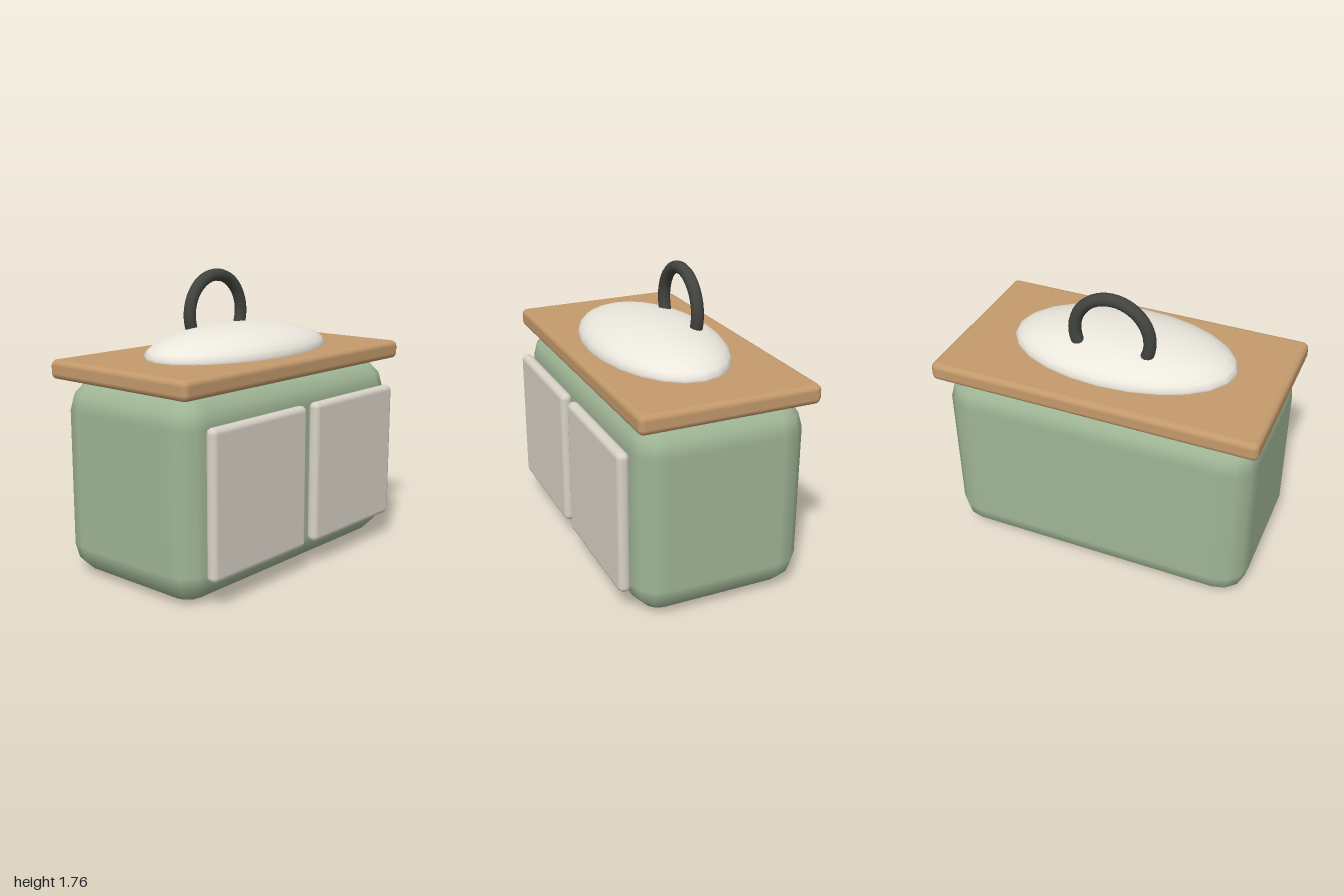
import * as THREE from 'three';

const mat = (color) => new THREE.MeshStandardMaterial({ color });

// Rounded block: a sphere split into octants that are pulled apart,
// three facets per quarter round, with smooth normals and flat caps.
function roundedBlock(w, h, d, r) {
  const cols = 16, rows = 9;
  const geo = new THREE.SphereGeometry(1, cols, rows);
  const pos = geo.attributes.position, nor = geo.attributes.normal;
  const bx = w / 2 - r, by = h / 2 - r, bz = d / 2 - r;
  for (let row = 0; row <= rows; row++) {
    const cap = row === 0 || row === rows;
    const step = row <= 4 ? Math.max(row - 1, 0) : Math.min(row - 2, 6);
    const theta = step * Math.PI / 6;
    const sy = row <= 4 ? 1 : -1;
    for (let col = 0; col <= cols; col++) {
      const c = col % cols, quarter = Math.floor(c / 4);
      const phi = (quarter * 3 + (c % 4)) * Math.PI / 6;
      const i = row * (cols + 1) + col;
      const nx = -Math.cos(phi) * Math.sin(theta);
      const ny = Math.cos(theta);
      const nz = Math.sin(phi) * Math.sin(theta);
      const sx = quarter === 0 || quarter === 3 ? -1 : 1;
      const sz = quarter < 2 ? 1 : -1;
      if (cap) {
        pos.setXYZ(i, 0, sy * h / 2, 0);
        nor.setXYZ(i, 0, sy, 0);
      } else {
        pos.setXYZ(i, sx * bx + nx * r, sy * by + ny * r, sz * bz + nz * r);
        nor.setXYZ(i, nx, ny, nz);
      }
    }
  }
  return geo;
}

export function createModel() {
  const group = new THREE.Group();
  const add = (name, geo, material, x, y, z) => {
    const mesh = new THREE.Mesh(geo, material);
    mesh.name = name;
    mesh.position.set(x, y, z);
    group.add(mesh);
    return mesh;
  };

  // Cabinet body and worktop
  add('cabinetBody', roundedBlock(1.94, 1.17, 1.05, 0.18), mat(0x9fb595), 0, 0.585, -0.027);
  add('worktop', roundedBlock(2, 0.115, 1.09, 0.035), mat(0xc49a6c), 0, 1.2225, -0.03);

  // Pair of doors on the front
  const doorMat = mat(0xd9d3c7);
  for (const side of [-1, 1]) {
    add(side < 0 ? 'rightDoor' : 'leftDoor', roundedBlock(0.81, 0.86, 0.075, 0.035),
      doorMat, side * 0.446, 0.584, 0.538);
  }

  // Shallow oval basin
  const basin = add('basin', new THREE.SphereGeometry(1, 24, 10, 0, Math.PI * 2, 0, Math.PI * 0.6),
    mat(0xece8de), 0, 1.285, 0);
  basin.scale.set(0.7, 0.16, 0.4);

  // Arched tap, its ends sunk into the basin
  const arc = Math.PI * 1.4;
  const tap = add('tap', new THREE.TorusGeometry(0.233, 0.038, 12, 32, arc),
    mat(0x42443f), 0, 1.494, -0.187);
  tap.rotation.z = (Math.PI - arc) / 2;

  return group;
}
